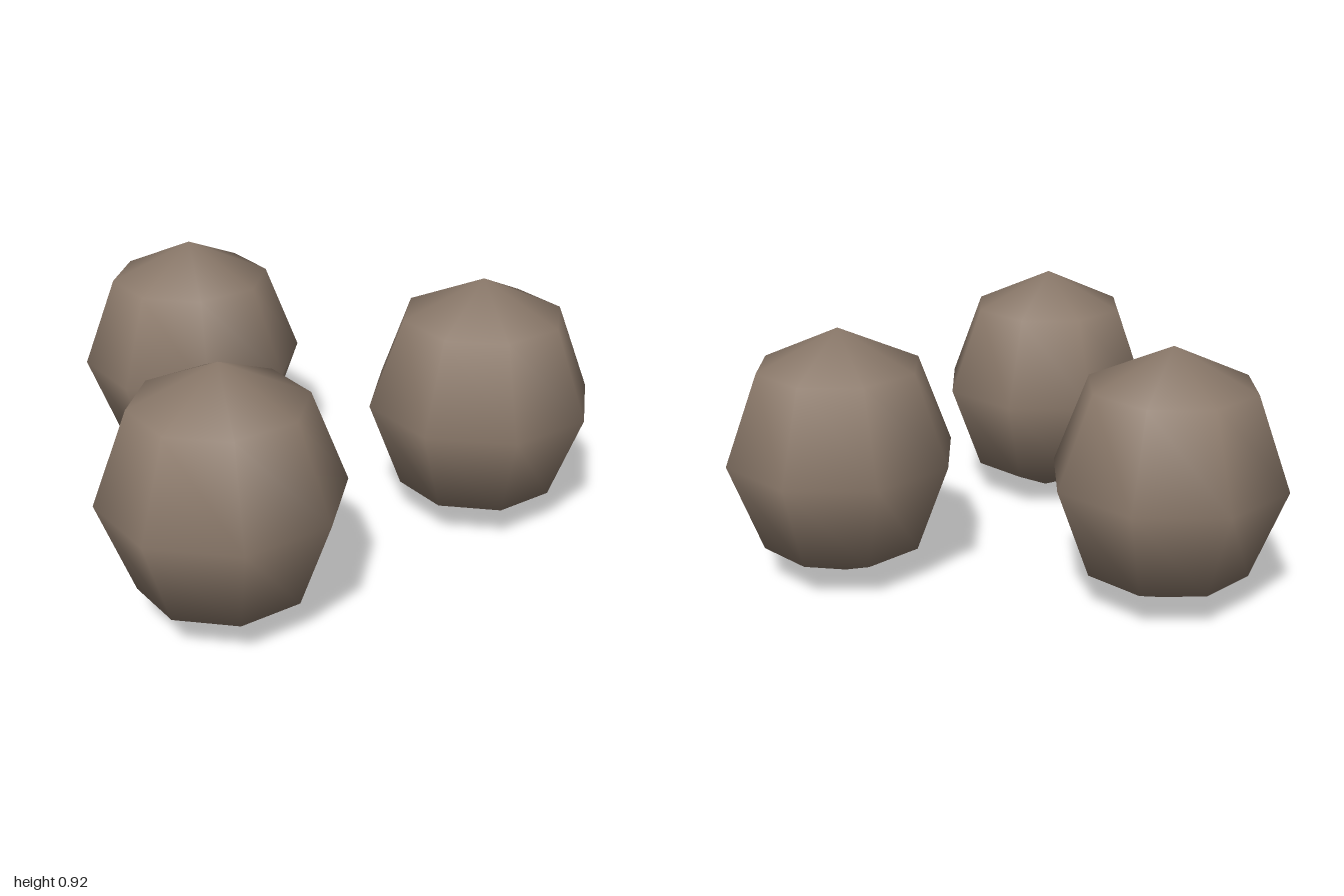
import * as THREE from 'three';

export function createModel() {
  const group = new THREE.Group();
  const brown = new THREE.MeshStandardMaterial({ color: 0x8c7a6b });
  brown.name = 'stone brown';

  // Low-poly smooth boulder, slightly taller than wide
  const boulder = new THREE.SphereGeometry(0.418, 8, 4);
  boulder.scale(1, 1.1, 1);

  // Three identical boulders in a triangle: x, z
  const spots = {
    boulderLeft: [0.52, 0.06],
    boulderFront: [-0.52, 0.58],
    boulderBack: [-0.45, -0.582],
  };
  for (const [name, [x, z]] of Object.entries(spots)) {
    const mesh = new THREE.Mesh(boulder, brown);
    mesh.name = name;
    mesh.position.set(x, 0.462, z);
    group.add(mesh);
  }
  return group;
}
